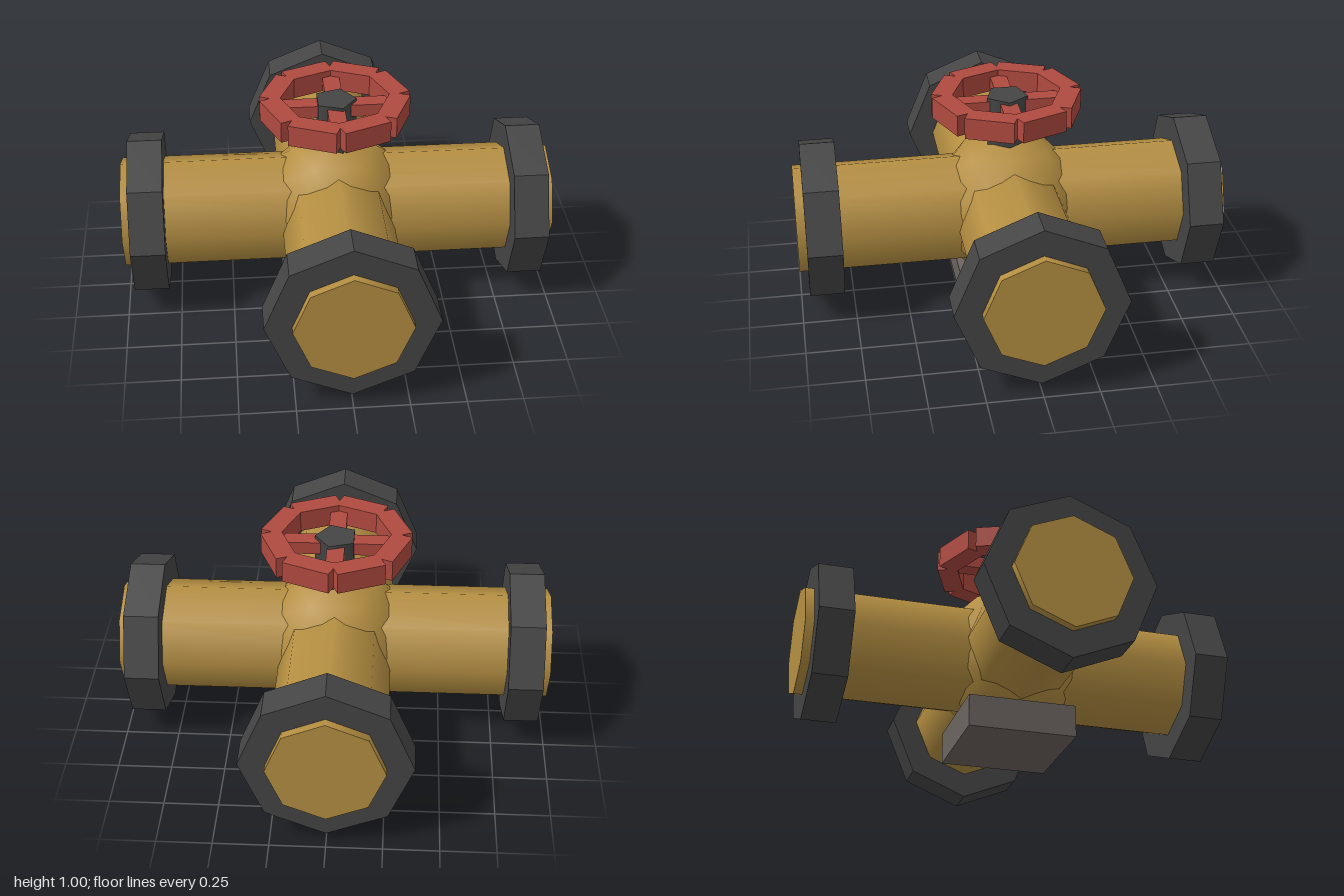
import * as THREE from 'three';

const AXIS_Y = 0.425; // height of the pipe centre lines

function material(name, color, flatShading = false) {
  const m = new THREE.MeshStandardMaterial({ color, flatShading });
  m.name = name;
  return m;
}

export function createModel() {
  const model = new THREE.Group();
  model.name = 'crossValve';

  const brass = material('brass', 0xb58f42);
  const iron = material('dark iron', 0x454545);
  const red = material('red paint', 0xb04a40);
  const stone = material('grey base', 0x6c6460);

  function add(parent, name, geometry, mat, x = 0, y = 0, z = 0) {
    const mesh = new THREE.Mesh(geometry, mat);
    mesh.name = name;
    mesh.position.set(x, y, z);
    parent.add(mesh);
    return mesh;
  }

  // Base block
  add(model, 'base', new THREE.BoxGeometry(0.5, 0.15, 0.5), stone, 0, 0.075, 0);

  // Faceted valve body where the pipes meet
  add(model, 'valveBody', new THREE.IcosahedronGeometry(0.36, 1), brass, 0, AXIS_Y, 0);

  // Two crossing pipes, each with an octagonal collar at both ends
  for (const [name, turn] of [['side', Math.PI / 2], ['front', 0]]) {
    const run = new THREE.Group();
    run.name = name + 'PipeRun';
    run.position.y = AXIS_Y;
    run.rotation.y = turn;
    model.add(run);
    add(run, 'pipe', new THREE.CylinderGeometry(0.26, 0.26, 2, 8).rotateX(Math.PI / 2), brass);
    for (const s of [-1, 1]) {
      const collar = new THREE.CylinderGeometry(0.38, 0.38, 0.16, 8).rotateX(Math.PI / 2).toNonIndexed();
      collar.computeVertexNormals(); // hard facets
      add(run, 'collar', collar, iron, 0, 0, s * 0.88);
    }
  }

  // Valve stem
  add(model, 'stem', new THREE.CylinderGeometry(0.1, 0.1, 0.39, 5).rotateY(Math.PI / 2), iron, 0, 0.79, 0);

  // Hand wheel: eight rim blocks and two crossing spokes
  const wheel = new THREE.Group();
  wheel.name = 'handWheel';
  wheel.position.y = 0.95;
  model.add(wheel);
  for (let i = 0; i < 8; i++) {
    const a = (i + 0.5) * Math.PI / 4;
    const block = add(wheel, 'rimBlock', new THREE.BoxGeometry(0.227, 0.1, 0.096), red,
      Math.sin(a) * 0.279, 0, Math.cos(a) * 0.279);
    block.rotation.y = a;
  }
  for (const turn of [0, Math.PI / 2]) {
    const spoke = add(wheel, 'spoke', new THREE.BoxGeometry(0.5, 0.06, 0.08), red);
    spoke.position.y = -0.01;
    spoke.rotation.y = turn;
  }

  return model;
}
